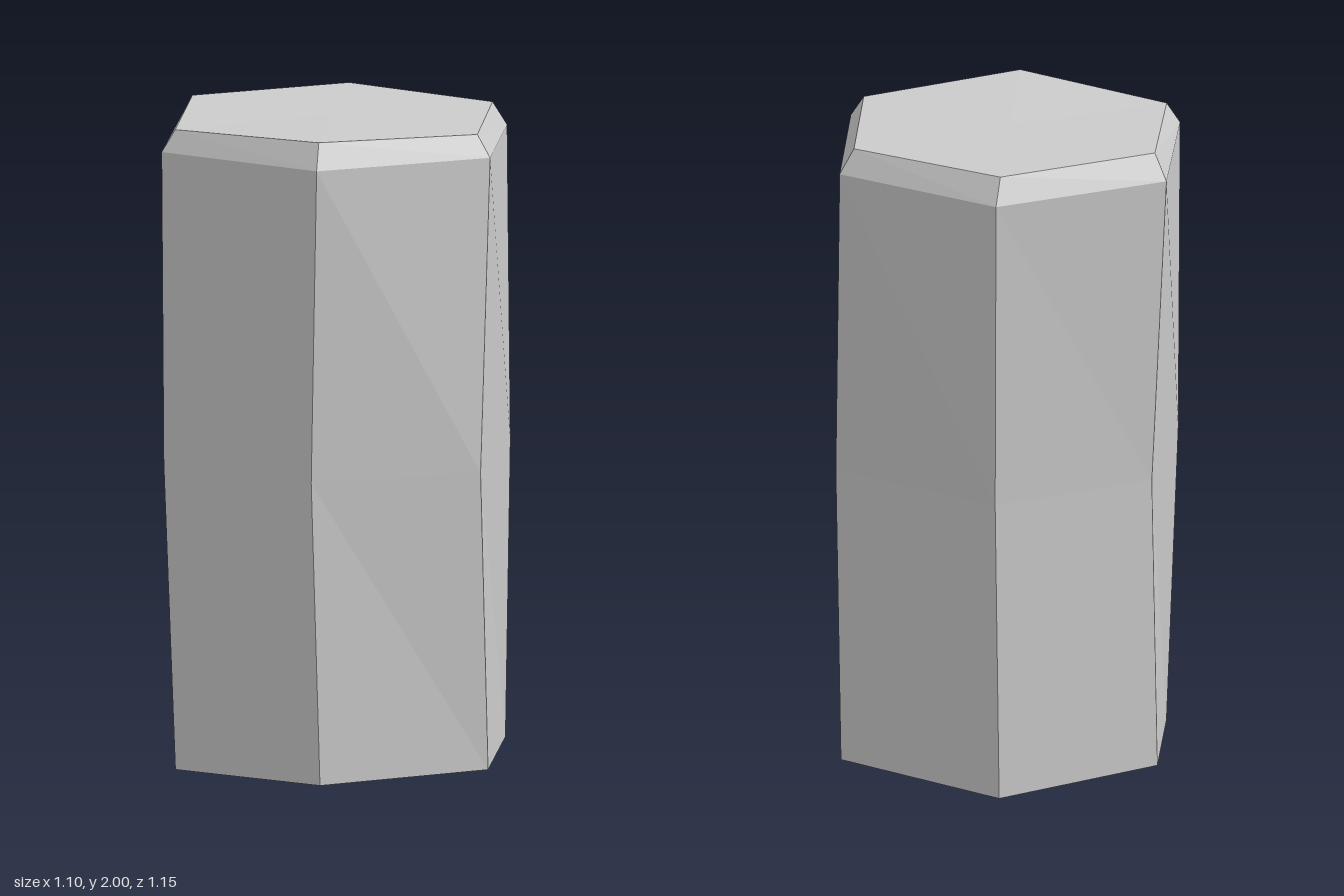
import * as THREE from 'three';

// Cross-sections from bottom to top: six [x, y, z] corners each
const RINGS = [
  // foot
  [[-0.11, 0.005, -0.535], [0.44, 0.025, -0.345], [0.545, 0.02, 0.2], [0.115, 0.01, 0.56], [-0.405, 0, 0.36], [-0.515, 0.03, -0.17]],
  // waist
  [[-0.1, 0.95, -0.545], [0.46, 0.95, -0.33], [0.535, 0.95, 0.247], [0.09, 0.95, 0.57], [-0.445, 0.95, 0.35], [-0.5, 0.95, -0.18]],
  // shoulder
  [[-0.11, 1.92, -0.573], [0.435, 1.92, -0.38], [0.55, 1.92, 0.195], [0.108, 1.92, 0.573], [-0.443, 1.92, 0.38], [-0.55, 1.92, -0.195]],
  // bevelled top
  [[-0.11, 2, -0.52], [0.398, 1.995, -0.348], [0.505, 1.988, 0.18], [0.1, 2, 0.522], [-0.407, 1.987, 0.355], [-0.507, 2, -0.17]],
];

function ringCentre(ring) {
  return [0, 1, 2].map((k) => ring.reduce((sum, p) => sum + p[k], 0) / ring.length);
}

function createColumnGeometry(rings) {
  const pos = [];
  const tri = (a, b, c) => pos.push(...a, ...b, ...c);
  const n = rings[0].length;
  const bottom = rings[0];
  const top = rings[rings.length - 1];
  const low = ringCentre(bottom);
  const high = ringCentre(top);
  for (let i = 0; i < n; i++) {
    const j = (i + 1) % n;
    // sides and bevel
    for (let r = 0; r < rings.length - 1; r++) {
      const a = rings[r];
      const b = rings[r + 1];
      tri(a[j], a[i], b[j]);
      tri(a[i], b[i], b[j]);
    }
    // end caps
    tri(low, bottom[i], bottom[j]);
    tri(high, top[j], top[i]);
  }
  const geometry = new THREE.BufferGeometry();
  geometry.setAttribute('position', new THREE.Float32BufferAttribute(pos, 3));
  geometry.computeVertexNormals();
  return geometry;
}

export function createModel() {
  const group = new THREE.Group();
  group.name = 'hexagonalStone';
  const material = new THREE.MeshStandardMaterial({ color: 0xcccccc, flatShading: true });
  const column = new THREE.Mesh(createColumnGeometry(RINGS), material);
  column.name = 'stoneColumn';
  group.add(column);
  return group;
}
